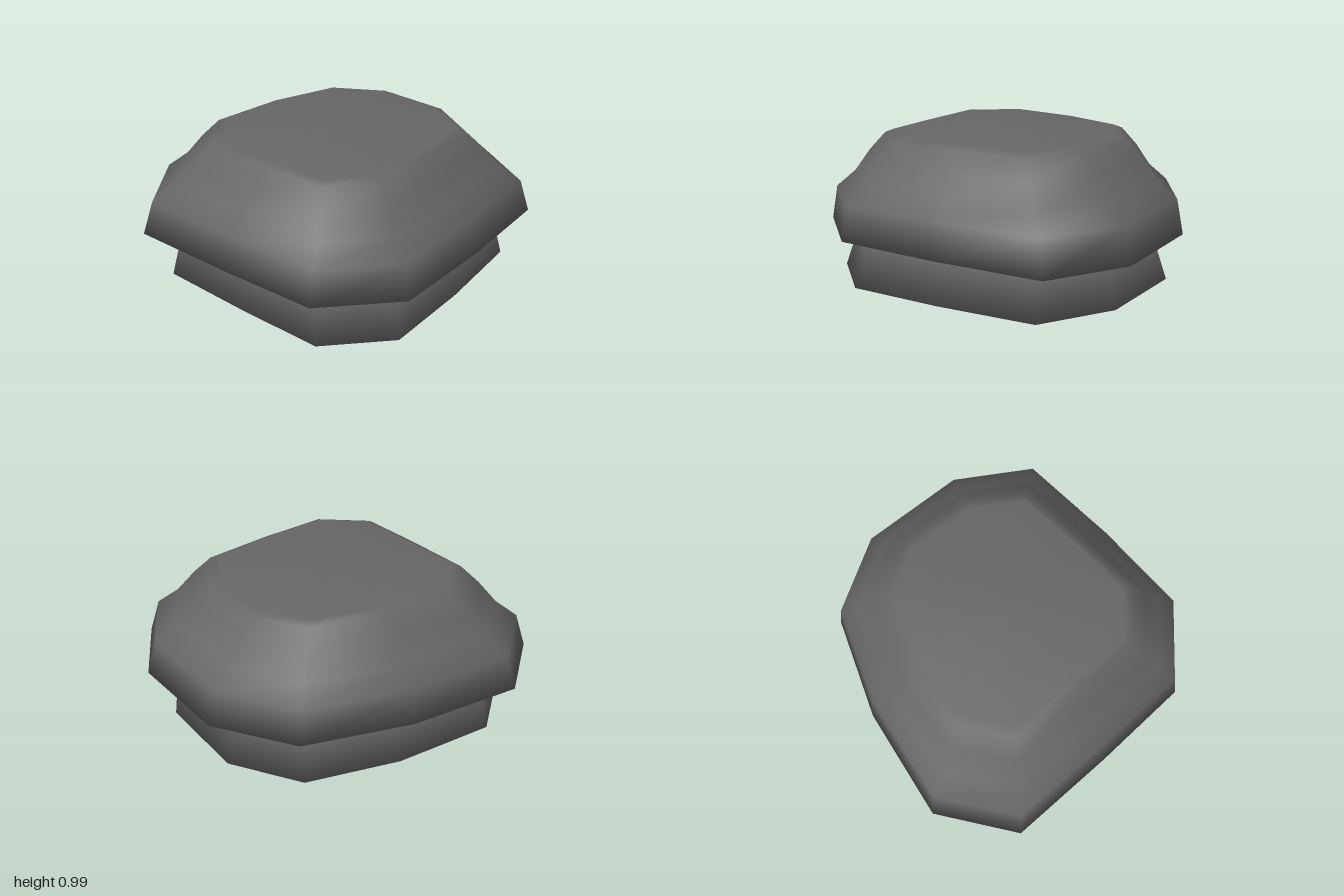
import * as THREE from 'three';

// Irregular plan outline [x, z], starting at the back and running past +x
const OUTLINE = [
  [0.08, -0.885], [0.52, -0.76], [0.91, -0.33], [1, 0.11], [0.61, 0.52], [0.21, 0.885],
  [-0.24, 0.885], [-0.61, 0.52], [-1, 0.11], [-0.92, -0.33], [-0.43, -0.67],
];

// Lofts the outline through rings [y, scaleX, scaleZ], listed bottom to top,
// closed by a centre point at each end and smooth all over
function loft(bottomY, rings, topY) {
  const n = OUTLINE.length;
  const positions = [];
  const index = [];
  for (const [y, sx, sz] of rings) {
    for (const [x, z] of OUTLINE) positions.push(x * sx, y, z * sz);
  }
  positions.push(0, bottomY, 0, 0, topY, 0);
  const bottom = rings.length * n;
  const lastRing = bottom - n;
  for (let i = 0; i < n; i++) {
    const j = (i + 1) % n;
    index.push(bottom, i, j);
    for (let r = 0; r < lastRing; r += n) {
      index.push(r + i, r + n + i, r + j, r + j, r + n + i, r + n + j);
    }
    index.push(lastRing + j, lastRing + i, bottom + 1);
  }
  const geometry = new THREE.BufferGeometry();
  geometry.setAttribute('position', new THREE.Float32BufferAttribute(positions, 3));
  geometry.setIndex(index);
  geometry.computeVertexNormals();
  return geometry;
}

export function createModel() {
  const model = new THREE.Group();
  const material = new THREE.MeshStandardMaterial({ color: 0x666666, side: THREE.DoubleSide });
  const add = (name, ...profile) => {
    const mesh = new THREE.Mesh(loft(...profile), material);
    mesh.name = name;
    model.add(mesh);
  };

  // Overhanging cap with a flat underside and a shallow pointed top
  add('upperCap', 0.452, [
    [0.452, 1, 1],
    [0.625, 0.945, 0.968],
    [0.71, 0.83, 0.86],
    [0.82, 0.735, 0.775],
    [0.91, 0.64, 0.685],
    [0.927, 0.585, 0.635],
  ], 0.985);

  // Flared lower body whose base tapers to a point
  add('lowerBody', 0, [
    [0.08, 0.4, 0.43],
    [0.2, 0.872, 0.935],
    [0.44, 0.81, 0.84],
  ], 0.45);

  return model;
}
